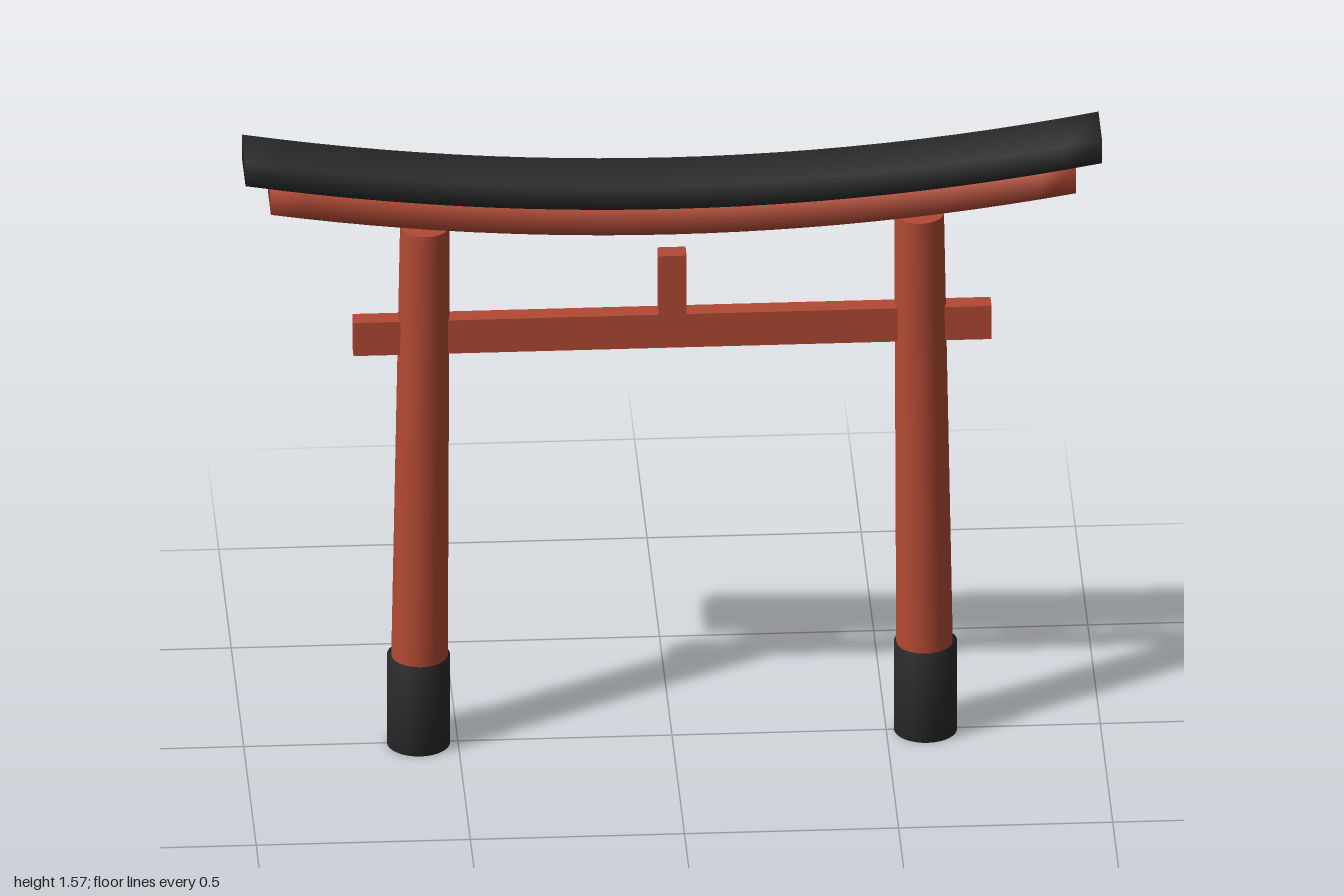
import * as THREE from 'three';
import { mergeVertices } from 'three/addons/utils/BufferGeometryUtils.js';

const red = new THREE.MeshStandardMaterial({ color: 0xb24a34 });
red.name = 'vermilion';
const black = new THREE.MeshStandardMaterial({ color: 0x2a2a2a });
black.name = 'black';

// Share vertices across edges so the shading rolls softly over them
function soften(geometry) {
  geometry.deleteAttribute('normal');
  geometry.deleteAttribute('uv');
  const merged = mergeVertices(geometry, 1e-4);
  merged.computeVertexNormals();
  return merged;
}

// Long beam whose ends sweep upward along a parabola
function curvedBeam(halfLength, bottom, height, depth) {
  const geometry = new THREE.BoxGeometry(halfLength * 2, height, depth, 24, 1, 1);
  geometry.translate(0, bottom + height / 2, 0);
  const p = geometry.attributes.position;
  for (let i = 0; i < p.count; i++) {
    p.setY(i, p.getY(i) + 0.09 * p.getX(i) ** 2);
  }
  return soften(geometry);
}

// Tapered round pillar leaning inward toward the top
function pillarGeometry(side) {
  const y0 = 0.1, y1 = 1.355;
  const geometry = new THREE.CylinderGeometry(0.058, 0.067, y1 - y0, 32);
  geometry.translate(0, (y0 + y1) / 2, 0);
  const p = geometry.attributes.position;
  for (let i = 0; i < p.count; i++) {
    p.setX(i, p.getX(i) + side * (0.592 - 0.011 * p.getY(i)));
  }
  return geometry;
}

export function createModel() {
  const model = new THREE.Group();
  model.name = 'gate';
  const add = (name, geometry, material, x = 0, y = 0, z = 0) => {
    const mesh = new THREE.Mesh(geometry, material);
    mesh.name = name;
    mesh.position.set(x, y, z);
    model.add(mesh);
  };

  // Pillars with black sleeves at the foot
  for (const [name, side] of [['left', 1], ['right', -1]]) {
    add(name + 'Pillar', pillarGeometry(side), red);
    const sleeve = soften(new THREE.CylinderGeometry(0.074, 0.074, 0.23, 32));
    add(name + 'Sleeve', sleeve, black, side * 0.592, 0.115);
  }

  // Straight tie beam and the short strut on it
  add('tieBeam', new THREE.BoxGeometry(1.49, 0.087, 0.046), red, 0, 1.073);
  add('centreStrut', new THREE.BoxGeometry(0.066, 0.154, 0.046), red, 0, 1.193);

  // Curved lintel and the black cap above it
  add('lintel', curvedBeam(0.94, 1.345, 0.072, 0.116), red);
  add('topCap', curvedBeam(1, 1.419, 0.061, 0.144), black);

  return model;
}
